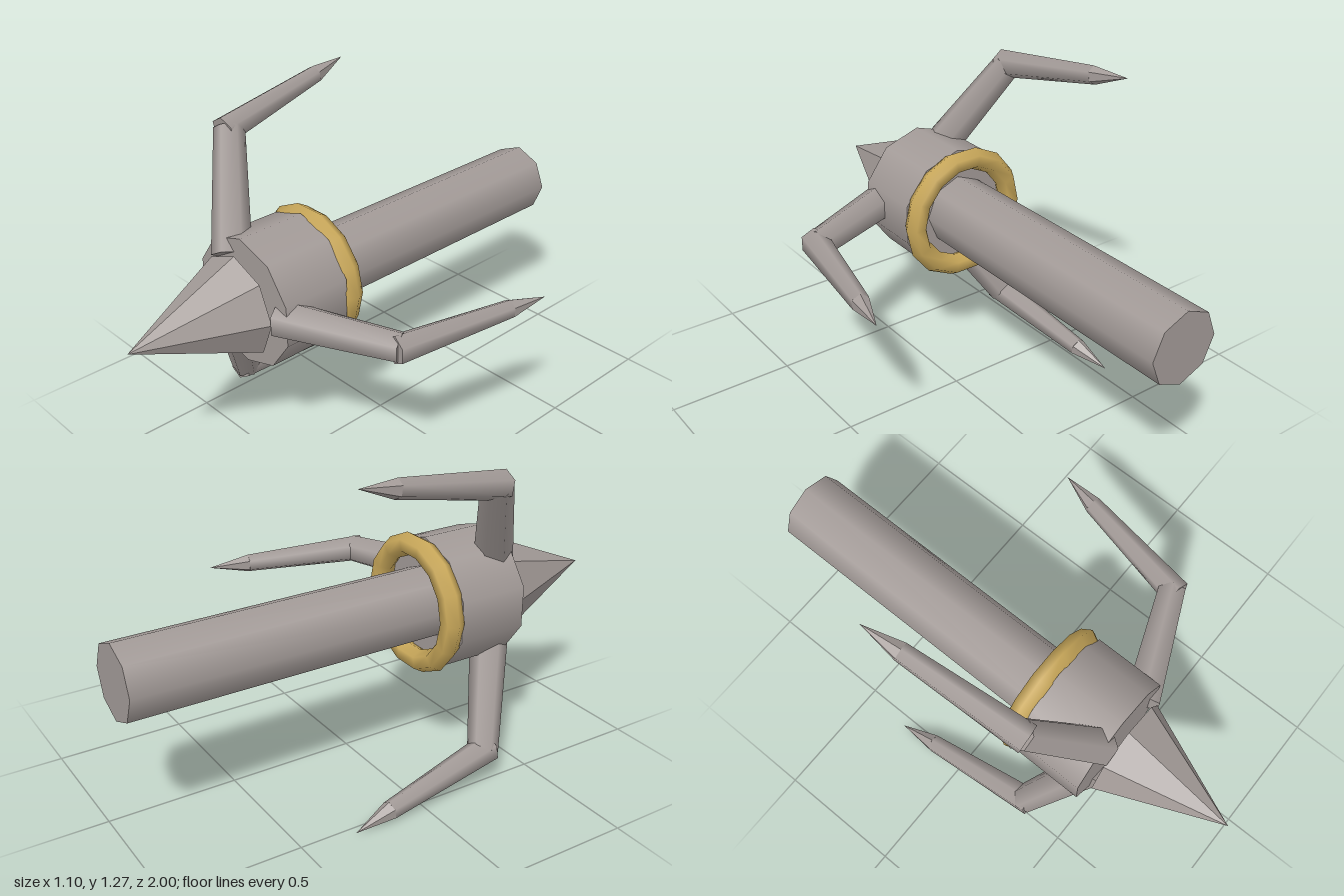
import * as THREE from 'three';

const steel = new THREE.MeshStandardMaterial({ color: 0xa39b98 });
const steelFlat = new THREE.MeshStandardMaterial({ color: 0xa39b98, flatShading: true });
const gold = new THREE.MeshStandardMaterial({ color: 0xc9a85a });

function add(parent, name, geometry, material) {
  const mesh = new THREE.Mesh(geometry, material);
  mesh.name = name;
  parent.add(mesh);
  return mesh;
}

// Cylinder or cone lying along z, from z0 (back) to z1 (front)
function alongZ(rBack, rFront, z0, z1, sides) {
  return new THREE.CylinderGeometry(rFront, rBack, z1 - z0, sides)
    .rotateX(Math.PI / 2).translate(0, 0, (z0 + z1) / 2);
}

// Six-sided tapered rod between two [radius, z] points in the xz plane
function rod(a, b, rA, rB) {
  const p = new THREE.Vector3(a[0], 0, a[1]);
  const q = new THREE.Vector3(b[0], 0, b[1]);
  const dir = q.clone().sub(p);
  const geometry = new THREE.CylinderGeometry(rB, rA, dir.length(), 6);
  dir.normalize();
  const side = new THREE.Vector3(0, 1, 0);
  const m = new THREE.Matrix4().makeBasis(dir.clone().cross(side), dir, side);
  m.setPosition(p.add(q).multiplyScalar(0.5));
  return geometry.applyMatrix4(m);
}

// One bent hook arm with a pointed end
function createArm() {
  const arm = new THREE.Group();
  arm.name = 'hookArm';
  add(arm, 'innerArm', rod([0.173, 0.487], [0.604, 0.305], 0.074, 0.058), steel);
  add(arm, 'outerArm', rod([0.597, 0.335], [0.692, -0.145], 0.056, 0.036), steel);
  add(arm, 'hookTip', rod([0.692, -0.145], [0.726, -0.3], 0.036, 0), steelFlat);
  return arm;
}

export function createModel() {
  const model = new THREE.Group();
  model.name = 'grapplingHook';
  model.position.set(-0.176, 0.635, 0);

  // Central body
  add(model, 'shaft', alongZ(0.142, 0.142, -1, 0.3, 8), steel);
  add(model, 'hub', alongZ(0.255, 0.255, 0.23, 0.51, 10), steel);
  add(model, 'spike', alongZ(0.197, 0, 0.54, 1, 8), steelFlat);

  // Collar ring behind the hub
  add(model, 'collarRing', new THREE.TorusGeometry(0.227, 0.044, 6, 14), gold).position.z = 0.195;

  // Three hooks around the axis
  for (let i = 0; i < 3; i++) {
    const arm = createArm();
    arm.rotation.z = (i * Math.PI * 2) / 3;
    model.add(arm);
  }

  const root = new THREE.Group();
  root.add(model);
  return root;
}
